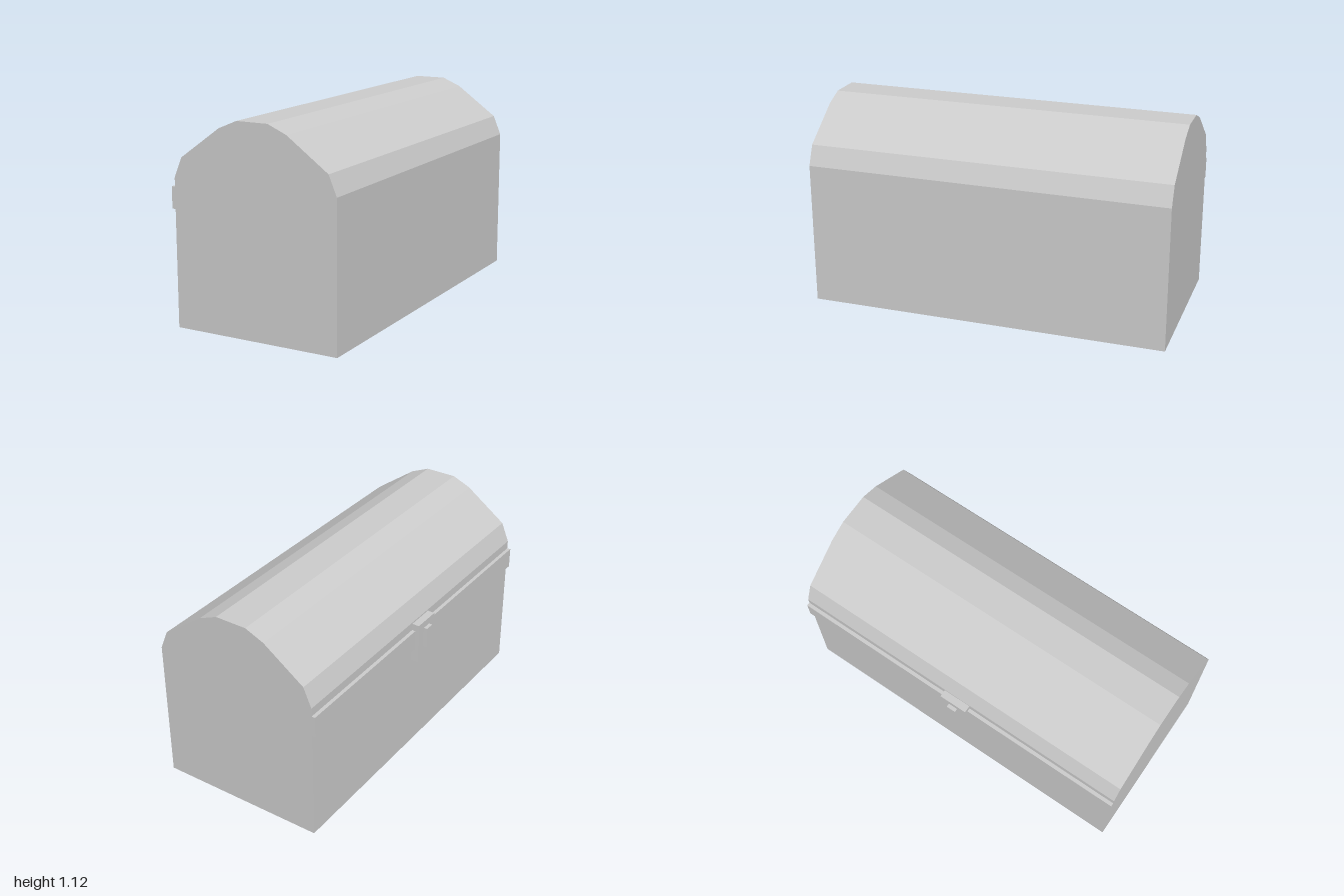
import * as THREE from 'three';

const material = new THREE.MeshStandardMaterial({ color: 0xcccccc, flatShading: true });

const CENTER_X = 0.03;   // chest axis, shifted because the latch sticks out on -x
const HALF_WIDTH = 0.474;
const LENGTH = 2;
const RIM_Y = 0.797;     // where the lid meets the body

function addMesh(group, name, geometry) {
  const mesh = new THREE.Mesh(geometry, material);
  mesh.name = name;
  group.add(mesh);
  return mesh;
}

// Box given by its minimum and maximum corners
function addBox(group, name, [x0, y0, z0], [x1, y1, z1]) {
  const mesh = addMesh(group, name, new THREE.BoxGeometry(x1 - x0, y1 - y0, z1 - z0));
  mesh.position.set((x0 + x1) / 2, (y0 + y1) / 2, (z0 + z1) / 2);
  return mesh;
}

export function createModel() {
  const chest = new THREE.Group();
  chest.name = 'chest';
  const sideX = CENTER_X - HALF_WIDTH;

  // Straight-sided body
  addBox(chest, 'body', [sideX, 0, -LENGTH / 2], [CENTER_X + HALF_WIDTH, RIM_Y, LENGTH / 2]);

  // Faceted barrel lid: half profile mirrored about the axis, extruded along z
  const half = [[HALF_WIDTH, RIM_Y], [0.429, 0.905], [0.196, 1.073], [0.09, 1.118]];
  const profile = [...half, ...half.map(([x, y]) => [-x, y]).reverse()];
  const lidShape = new THREE.Shape(profile.map(([x, y]) => new THREE.Vector2(x, y)));
  const lid = addMesh(chest, 'lid',
    new THREE.ExtrudeGeometry(lidShape, { depth: LENGTH, bevelEnabled: false }));
  lid.position.set(CENTER_X, 0, -LENGTH / 2);

  // Band along the opening side
  addBox(chest, 'band', [-0.464, 0.633, -LENGTH / 2], [sideX, 0.75, LENGTH / 2]);

  // Latch: plate over the band with a raised bar
  const latch = new THREE.Group();
  latch.name = 'latch';
  addBox(latch, 'latchPlate', [-0.485, 0.558, -0.077], [sideX, 0.789, 0.083]);
  addBox(latch, 'latchBar', [-0.505, 0.633, -0.024], [-0.485, 0.75, 0.03]);
  chest.add(latch);

  return chest;
}
